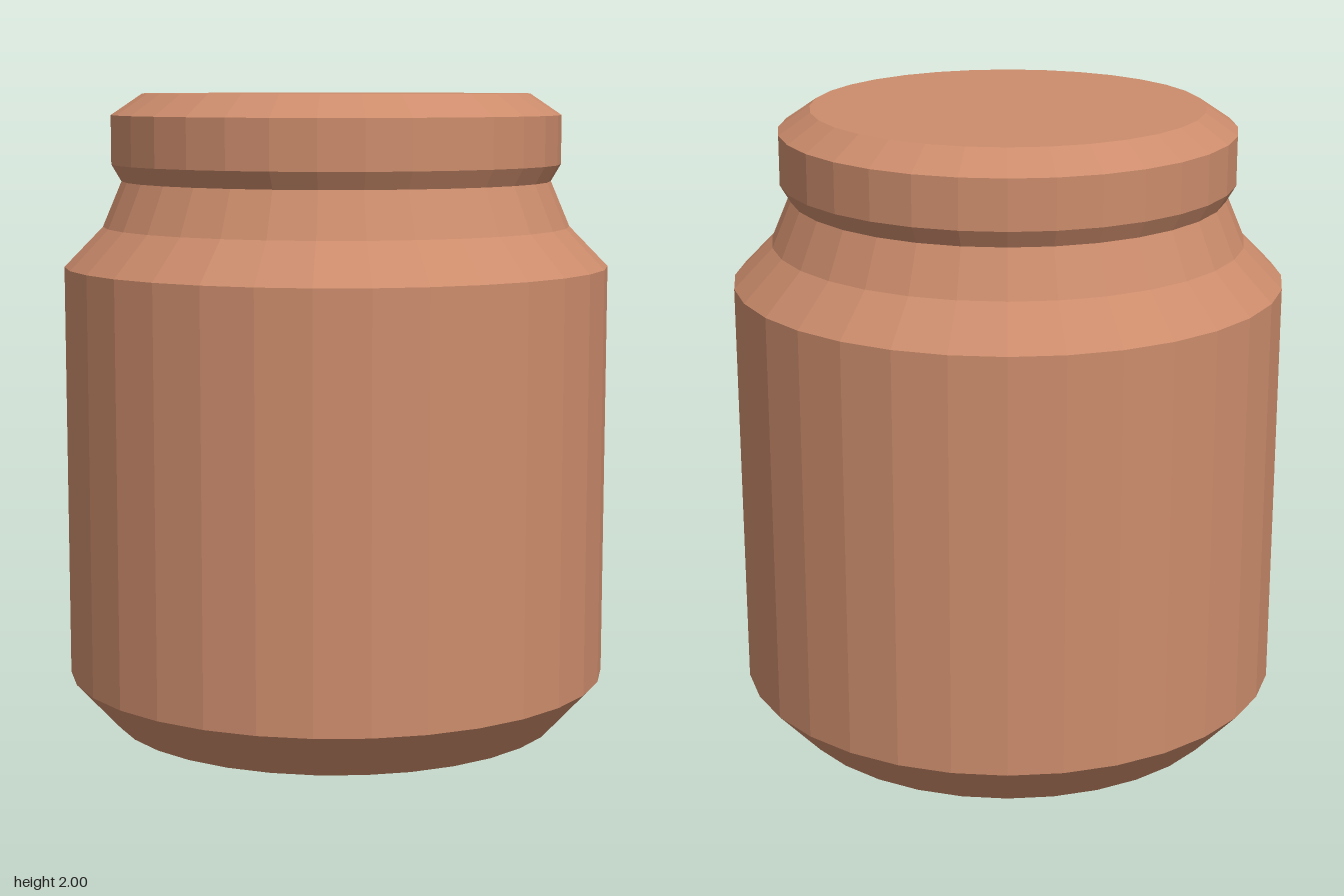
import * as THREE from 'three';

const SIDES = 32;

// Turns a bottom-to-top [radius, height] profile into a faceted solid
function turned(name, profile, material) {
  const points = profile.map(([r, y]) => new THREE.Vector2(r, y));
  const mesh = new THREE.Mesh(new THREE.LatheGeometry(points, SIDES), material);
  mesh.name = name;
  return mesh;
}

export function createModel() {
  const group = new THREE.Group();
  group.name = 'jar';

  const clay = new THREE.MeshStandardMaterial({ color: 0xcc8c6c });
  clay.name = 'clay';
  clay.flatShading = true;

  // Body: flat base, chamfered foot, straight wall, two-step shoulder
  group.add(turned('body', [
    [0, 0], [0.72, 0], [0.86, 0.153], [0.86, 1.46], [0.738, 1.585], [0.678, 1.727],
  ], clay));

  // Lid: flared underside, straight rim, chamfered flat top
  group.add(turned('lid', [
    [0.678, 1.727], [0.709, 1.78], [0.709, 1.933], [0.61, 2], [0, 2],
  ], clay));

  return group;
}
